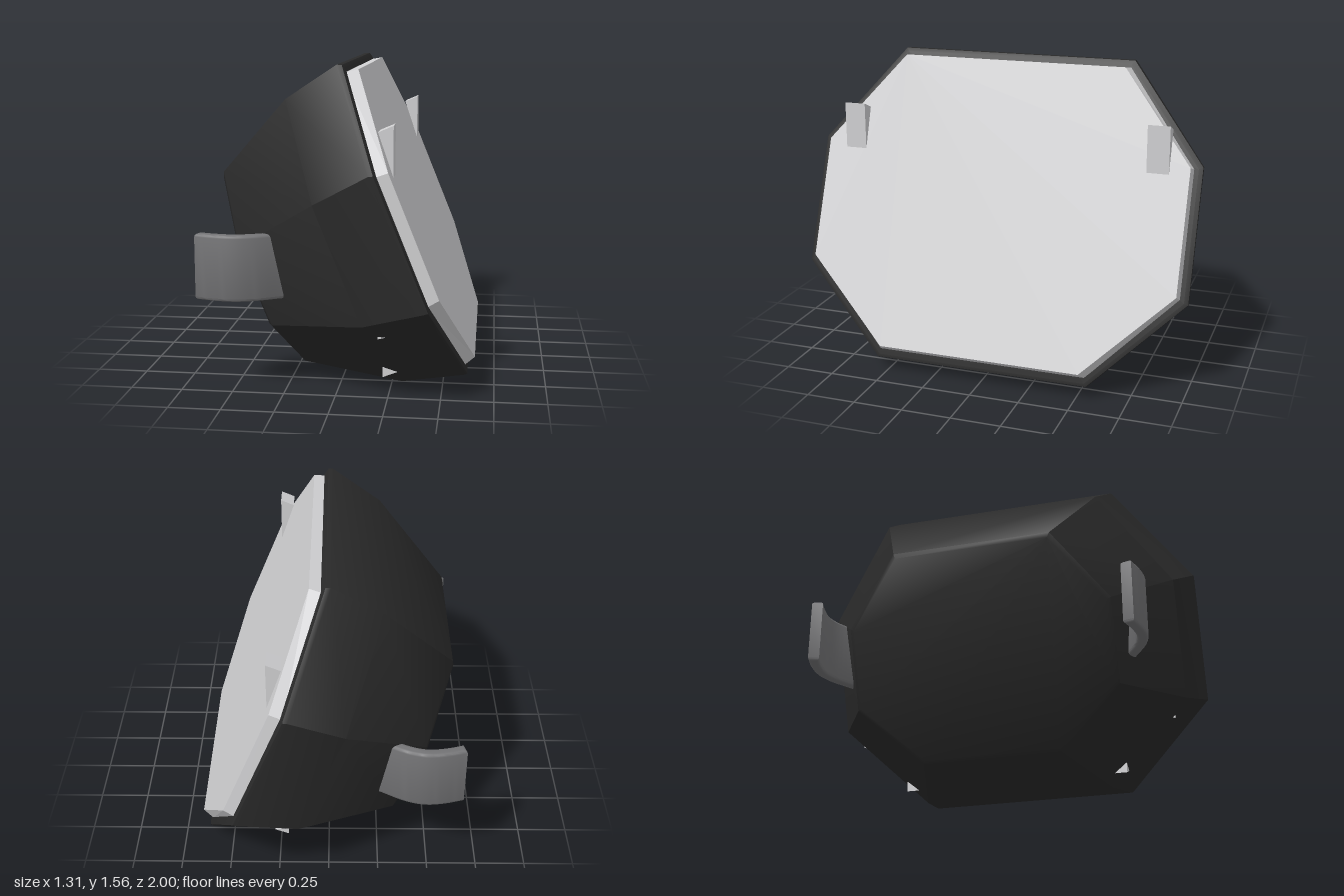
import * as THREE from 'three';
import { toCreasedNormals } from 'three/addons/utils/BufferGeometryUtils.js';

const material = (name, color) => {
  const m = new THREE.MeshStandardMaterial({ color });
  m.name = name;
  return m;
};

// Octagon on a tilted plane: top and bottom edges [x, y], half widths, and side corner fractions
function octagon(top, bottom, zTop, zSide, zBottom, t1 = 0.31, t2 = 0.72) {
  const at = (t, z) => [top[0] + (bottom[0] - top[0]) * t, top[1] + (bottom[1] - top[1]) * t, z];
  const half = [at(0, zTop), at(t1, zSide), at(t2, zSide), at(1, zBottom)];
  return [...half, ...half.slice().reverse().map(([x, y, z]) => [x, y, -z])];
}

// Closed solid through octagons, listed from back to front
function loft(rings, crease) {
  const n = 8, index = [], last = (rings.length - 1) * n;
  for (let r = 0; r < rings.length - 1; r++) {
    for (let i = 0; i < n; i++) {
      const a = r * n + i, b = r * n + (i + 1) % n;
      index.push(a, b, b + n, a, b + n, a + n);
    }
  }
  for (let i = 1; i < n - 1; i++) {
    index.push(0, i + 1, i, last, last + i, last + i + 1);
  }
  const g = new THREE.BufferGeometry();
  g.setAttribute('position', new THREE.Float32BufferAttribute(rings.flat(2), 3));
  g.setIndex(index);
  return toCreasedNormals(g, crease);
}

// Triangular prism with a profile in x and y, spanning z0 to z1
function wedge(points, z0, z1) {
  const shape = new THREE.Shape(points.map(p => new THREE.Vector2(...p)));
  return new THREE.ExtrudeGeometry(shape, { depth: z1 - z0, bevelEnabled: false }).translate(0, 0, z0);
}

// Curved strap: a thickened path in x and z, extruded in height with soft edges
function strap(side) {
  const path = new THREE.CatmullRomCurve3(
    [[-0.65, 0.772], [-0.56, 0.797], [-0.47, 0.806], [-0.38, 0.782], [-0.27, 0.72], [-0.16, 0.66]]
      .map(([x, z]) => new THREE.Vector3(x, z * side, 0)));
  const outer = [], inner = [];
  for (let i = 0; i <= 20; i++) {
    const p = path.getPoint(i / 20), t = path.getTangent(i / 20);
    outer.push(new THREE.Vector2(p.x - t.y * 0.027, p.y + t.x * 0.027));
    inner.unshift(new THREE.Vector2(p.x + t.y * 0.027, p.y - t.x * 0.027));
  }
  const g = new THREE.ExtrudeGeometry(new THREE.Shape([...outer, ...inner]), {
    depth: 0.287, bevelThickness: 0.015, bevelSize: 0.015, bevelOffset: -0.015, bevelSegments: 3,
  });
  return toCreasedNormals(g.rotateX(Math.PI / 2).translate(0, 0.767, 0), 0.7);
}

export function createModel() {
  const group = new THREE.Group();
  const black = material('shell black', 0x2a2a2a);
  const light = material('light grey', 0xd0d0d2);
  const grey = material('strap grey', 0x737375);
  const add = (name, geometry, mat) => {
    const mesh = new THREE.Mesh(geometry, mat);
    mesh.name = name;
    group.add(mesh);
  };

  // Faceted shell, flaring from the back to the tilted rim
  add('shell', loft([
    octagon([-0.607, 0.99], [-0.228, 0.052], 0.39, 0.645, 0.34, 0.33),
    octagon([-0.603, 1.018], [-0.21, 0.038], 0.4, 0.665, 0.35, 0.33),
    octagon([-0.26, 1.395], [0.3, 0], 0.57, 0.92, 0.5, 0.32),
    octagon([-0.01, 1.56], [0.605, 0.062], 0.61, 1, 0.55),
    octagon([0.015, 1.56], [0.62, 0.07], 0.61, 1, 0.55),
    octagon([0.03, 1.543], [0.62, 0.085], 0.595, 0.98, 0.54),
  ], 0.6), black);

  // Flat plate over the opening
  add('frontPlate', loft([
    octagon([0.022, 1.525], [0.605, 0.108], 0.6, 0.96, 0.54),
    octagon([0.09, 1.538], [0.655, 0.145], 0.58, 0.95, 0.52),
  ], 0.1), light);

  for (const side of [1, -1]) {
    const label = side > 0 ? 'left' : 'right';
    const span = (a, b) => side > 0 ? [a, b] : [-b, -a];
    add(label + 'Strap', strap(side), grey);
    // Clip on the plate, and small lugs poking through the underside
    add(label + 'Clip', wedge([[0.21, 1.275], [0.28, 1.07], [0.28, 1.305]], ...span(0.74, 0.85)), light);
    add(label + 'LowerLug', wedge([[0.21, 0.047], [0.28, 0.075], [0.21, 0.1]], ...span(0.48, 0.59)), light);
    add(label + 'UpperLug', wedge([[0.21, 0.316], [0.245, 0.325], [0.21, 0.33]], ...span(0.74, 0.85)), light);
  }
  return group;
}
